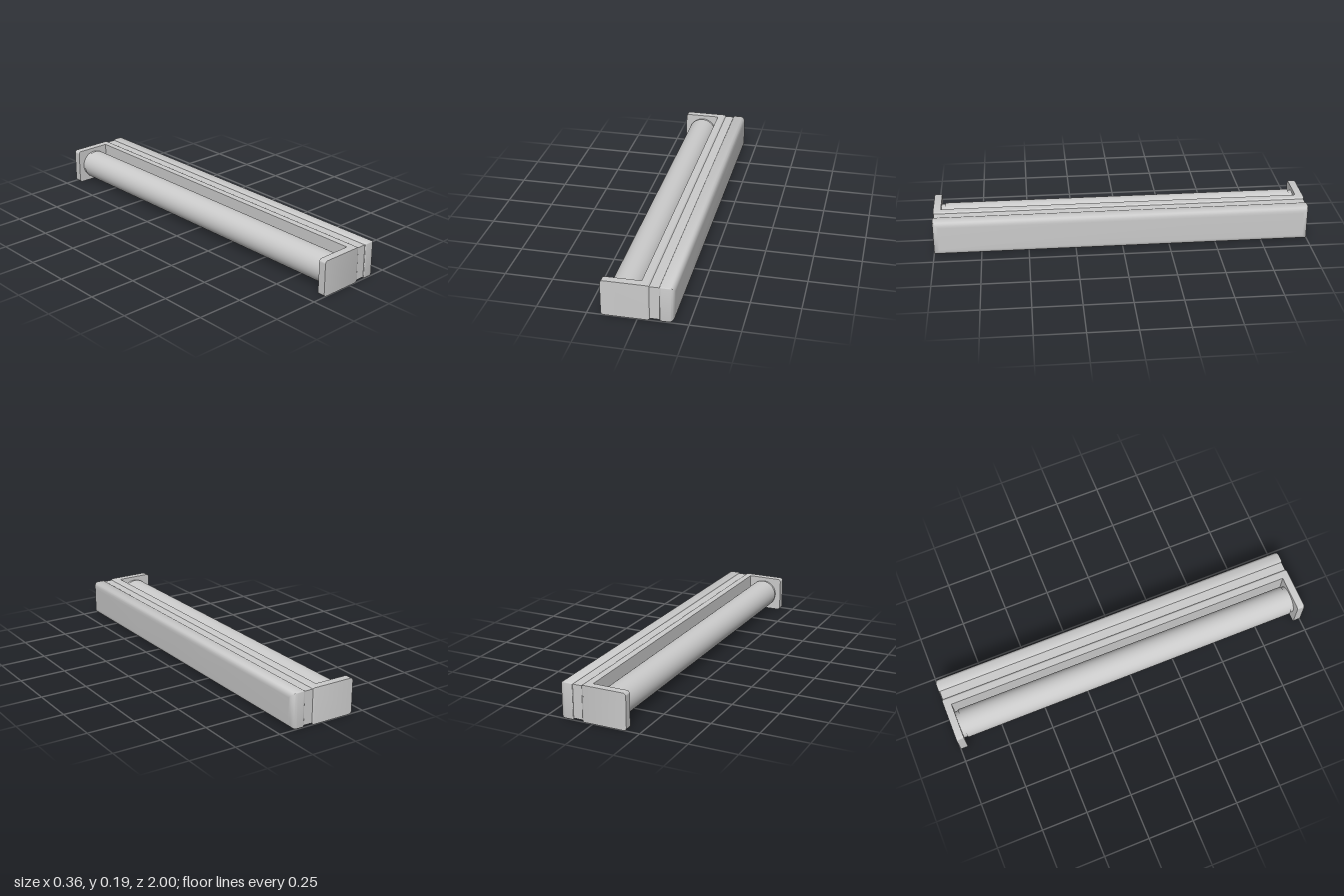
import * as THREE from 'three';
import { toCreasedNormals } from 'three/addons/utils/BufferGeometryUtils.js';

const H = 0.19, MID = H / 2;
const material = new THREE.MeshStandardMaterial({ color: 0xcccccc });

function add(group, name, geometry) {
  const mesh = new THREE.Mesh(geometry, material);
  mesh.name = name;
  group.add(mesh);
  return mesh;
}

// Bar along z, lofted in x from rounded rectangles that shrink by a quarter-round fillet at each end
function filletBar(x0, x1, halfY, halfZ, r0, r1, corner) {
  const sections = [], steps = 10;
  for (let i = 0; i <= steps; i++) {
    const a = (i / steps) * Math.PI / 2;
    sections.push([x0 + r0 * (1 - Math.cos(a)), r0 * (1 - Math.sin(a))]);
  }
  for (let i = 0; i <= steps; i++) {
    const a = (i / steps) * Math.PI / 2;
    sections.push([x1 - r1 * (1 - Math.sin(a)), r1 * (1 - Math.cos(a))]);
  }
  const arc = 5, n = 4 * arc, pos = [], index = [];
  for (const [x, inset] of sections) {
    const r = Math.max(corner - inset, 0.001);
    for (let k = 0; k < n; k++) {
      const q = Math.floor(k / arc);
      const a = (q + (k % arc) / (arc - 1)) * Math.PI / 2;
      const sy = q < 2 ? 1 : -1, sz = q === 0 || q === 3 ? -1 : 1;
      pos.push(x, sy * (halfY - inset - r) + r * Math.sin(a),
        sz * (halfZ - inset - r) - r * Math.cos(a));
    }
  }
  const last = sections.length - 1;
  for (let s = 0; s < last; s++) {
    for (let k = 0; k < n; k++) {
      const a = s * n + k, b = s * n + (k + 1) % n;
      index.push(a, b, a + n, b, b + n, a + n);
    }
  }
  // End caps
  for (let k = 1; k < n - 1; k++) {
    index.push(0, k + 1, k);
    index.push(last * n, last * n + k, last * n + k + 1);
  }
  const g = new THREE.BufferGeometry();
  g.setAttribute('position', new THREE.Float32BufferAttribute(pos, 3));
  g.setIndex(index);
  return toCreasedNormals(g, 0.6);
}

const EDGE = 0.06, ROUND = 0.012;

// Bracket cross-section: right corners rounded, left corners rounded by rLeft
function bracketProfile(x0, rLeft) {
  const s = new THREE.Shape();
  s.moveTo(x0 + rLeft, 0);
  s.lineTo(EDGE - ROUND, 0);
  s.absarc(EDGE - ROUND, ROUND, ROUND, -Math.PI / 2, 0, false);
  s.lineTo(EDGE, H - ROUND);
  s.absarc(EDGE - ROUND, H - ROUND, ROUND, 0, Math.PI / 2, false);
  s.lineTo(x0 + rLeft, H);
  if (rLeft > 0) {
    s.absarc(x0 + rLeft, H - rLeft, rLeft, Math.PI / 2, Math.PI, false);
    s.lineTo(x0, rLeft);
    s.absarc(x0 + rLeft, rLeft, rLeft, Math.PI, Math.PI * 1.5, false);
  }
  return s;
}

// End plate whose vertical edge beside the strip is rounded by limiting x near the outer face
function plateGeometry() {
  const depth = 0.04;
  const g = new THREE.ExtrudeGeometry(bracketProfile(-0.18, 0.015),
    { depth, steps: 16, bevelEnabled: false, curveSegments: 8 });
  const p = g.attributes.position;
  for (let i = 0; i < p.count; i++) {
    const d = Math.min(ROUND, Math.max(0, p.getZ(i) - (depth - ROUND)));
    const limit = EDGE - ROUND + Math.sqrt(ROUND * ROUND - d * d);
    p.setX(i, Math.min(p.getX(i), limit));
  }
  return toCreasedNormals(g, 0.6);
}

export function createModel() {
  const model = new THREE.Group();
  model.name = 'rollerBar';

  // U-shaped bracket: spine between two end plates
  const bracket = new THREE.Group();
  bracket.name = 'bracket';
  model.add(bracket);
  const spine = new THREE.ExtrudeGeometry(bracketProfile(0.015, 0),
    { depth: 1.92, bevelEnabled: false, curveSegments: 8 });
  add(bracket, 'bracketSpine', toCreasedNormals(spine, 0.6)).position.z = -0.96;
  const plate = plateGeometry();
  add(bracket, 'frontEndPlate', plate).position.z = 0.96;
  const backPlate = add(bracket, 'backEndPlate', plate);
  backPlate.rotation.x = Math.PI;
  backPlate.position.set(0, H, -0.96);

  // Recessed strip between bracket and pad
  add(model, 'middleStrip', new THREE.BoxGeometry(0.064, 0.176, 1.99)).position.set(0.085, 0.096, 0);

  // Outer pad with a softly rounded face
  add(model, 'outerPad', filletBar(0.106, 0.18, MID, 1, 0.01, 0.03, 0.006)).position.y = MID;

  // Roller and the narrower collars that carry it
  const roller = add(model, 'roller', new THREE.CylinderGeometry(0.079, 0.079, 1.88, 48));
  roller.rotation.x = Math.PI / 2;
  roller.position.set(-0.076, MID, 0);
  for (const side of [1, -1]) {
    const collar = add(model, side > 0 ? 'frontCollar' : 'backCollar',
      new THREE.CylinderGeometry(0.074, 0.074, 0.03, 48));
    collar.rotation.x = Math.PI / 2;
    collar.position.set(-0.076, MID, side * 0.95);
  }
  return model;
}
